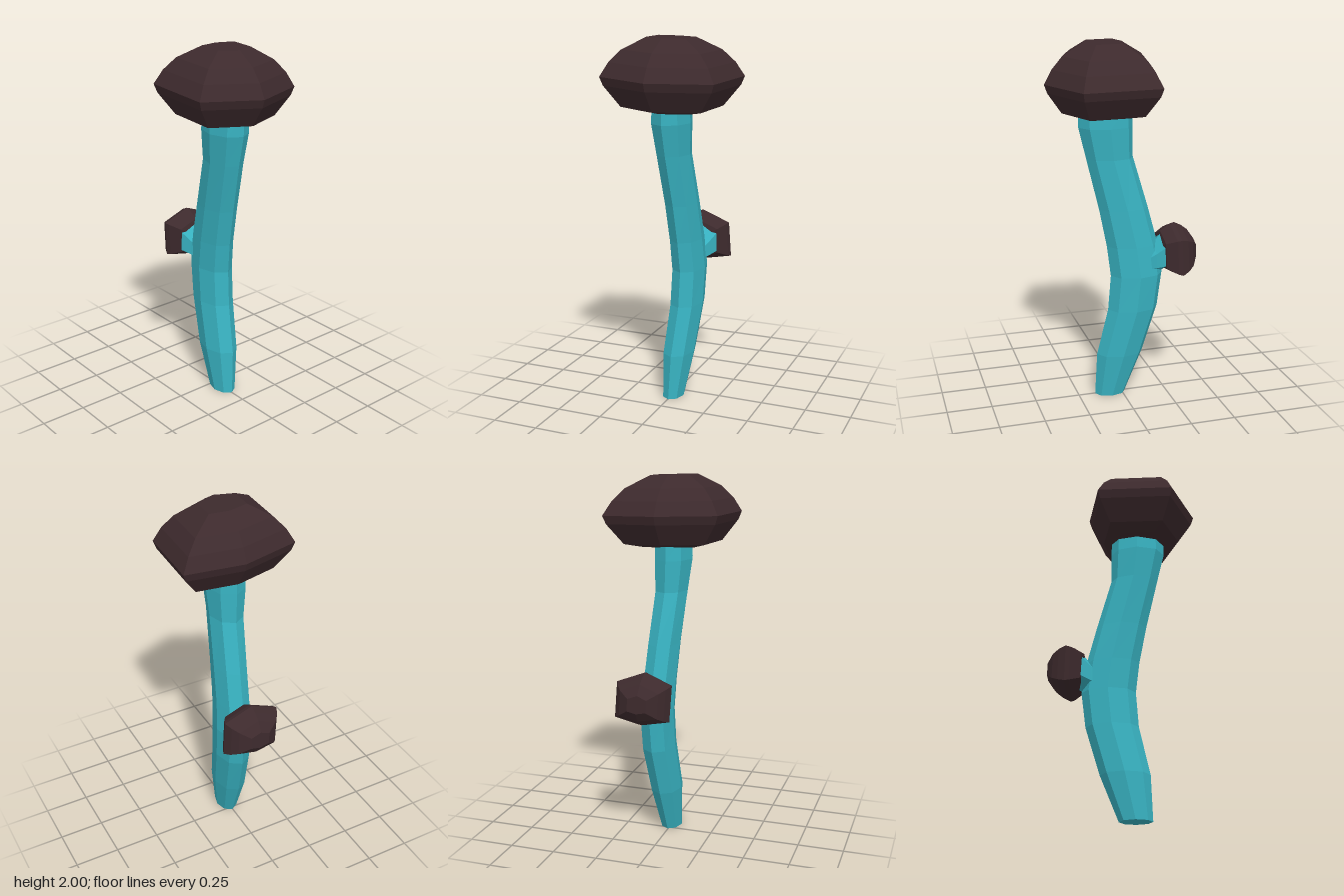
import * as THREE from 'three';

const stemMaterial = new THREE.MeshStandardMaterial({ color: 0x38b2c1, flatShading: true });
const capMaterial = new THREE.MeshStandardMaterial({ color: 0x3d2a2d, flatShading: true });

// Skins rings (bottom to top, counter-clockwise from above) and closes both ends.
function loft(rings) {
  const positions = [];
  const tri = (...points) => points.forEach((p) => positions.push(p.x, p.y, p.z));
  const n = rings[0].length;
  for (let i = 0; i < rings.length - 1; i++) {
    for (let j = 0; j < n; j++) {
      const k = (j + 1) % n;
      const [a, b, c, d] = [rings[i][j], rings[i][k], rings[i + 1][k], rings[i + 1][j]];
      tri(a, b, c);
      tri(a, c, d);
    }
  }
  const bottom = rings[0];
  const top = rings[rings.length - 1];
  for (let j = 1; j < n - 1; j++) {
    tri(bottom[0], bottom[j + 1], bottom[j]);
    tri(top[0], top[j], top[j + 1]);
  }
  const geometry = new THREE.BufferGeometry();
  geometry.setAttribute('position', new THREE.Float32BufferAttribute(positions, 3));
  geometry.computeVertexNormals();
  return geometry;
}

// Elliptical polygon ring filling the given x and z extents at height y.
function ovalRing(sides, y, x0, x1, z0, z1) {
  return Array.from({ length: sides }, (_, i) => {
    const a = (i / sides) * Math.PI * 2;
    return new THREE.Vector3(
      (x0 + x1) / 2 + ((x1 - x0) / 2) * Math.cos(a), y,
      (z0 + z1) / 2 - ((z1 - z0) / 2) * Math.sin(a));
  });
}

// Irregular hexagonal cap: one outline scaled through a domed profile.
function capGeometry() {
  const outline = [[0.31, 0.02], [0.18, -0.305], [-0.23, -0.33], [-0.295, -0.02], [-0.225, 0.30], [0.185, 0.325]];
  const profile = [[-0.185, 0.45], [-0.165, 0.71], [-0.055, 0.95], [-0.01, 1], [0.065, 0.87], [0.13, 0.69], [0.195, 0.34]];
  return loft(profile.map(([y, s]) => outline.map(([x, z]) =>
    new THREE.Vector3(x * s, y + 0.03 * s * (z - x), z * s))));
}

function addMesh(parent, name, geometry, material) {
  const mesh = new THREE.Mesh(geometry, material);
  mesh.name = name;
  parent.add(mesh);
  return mesh;
}

export function createModel() {
  const model = new THREE.Group();
  model.name = 'mushroom';

  // Curved eight-sided stem: height, x extents, z extents
  const sections = [
    [0, -0.02, 0.155, -0.06, 0.055],
    [0.25, -0.12, 0.145, -0.10, 0.07],
    [0.52, -0.20, 0.085, -0.125, 0.055],
    [0.72, -0.225, 0.07, -0.13, 0.05],
    [0.89, -0.20, 0.09, -0.12, 0.055],
    [1.1, -0.145, 0.13, -0.11, 0.065],
    [1.38, -0.065, 0.195, -0.095, 0.085],
    [1.55, -0.065, 0.235, -0.105, 0.105],
    [1.66, -0.06, 0.235, -0.1, 0.1],
  ];
  addMesh(model, 'stem', loft(sections.map((s) => ovalRing(8, ...s))), stemMaterial);

  // Main cap
  const cap = capGeometry();
  addMesh(model, 'cap', cap, capMaterial).position.set(0.1, 1.8, 0);

  // Small mushroom growing sideways towards -x
  const side = new THREE.Group();
  side.name = 'sideMushroom';
  side.rotation.z = Math.PI / 2;
  model.add(side);
  const branch = loft([
    ovalRing(6, 0.10, 0.72, 0.82, -0.085, 0.005),
    ovalRing(6, 0.17, 0.727, 0.89, -0.135, 0.045),
    ovalRing(6, 0.22, 0.73, 0.95, -0.168, 0.078),
    ovalRing(6, 0.25, 0.75, 0.95, -0.165, 0.075),
  ]);
  addMesh(side, 'branch', branch, stemMaterial);
  const sideCap = addMesh(side, 'sideCap', cap, capMaterial);
  sideCap.position.set(0.85, 0.305, -0.045);
  sideCap.scale.set(0.48, 0.53, 0.49);

  return model;
}
